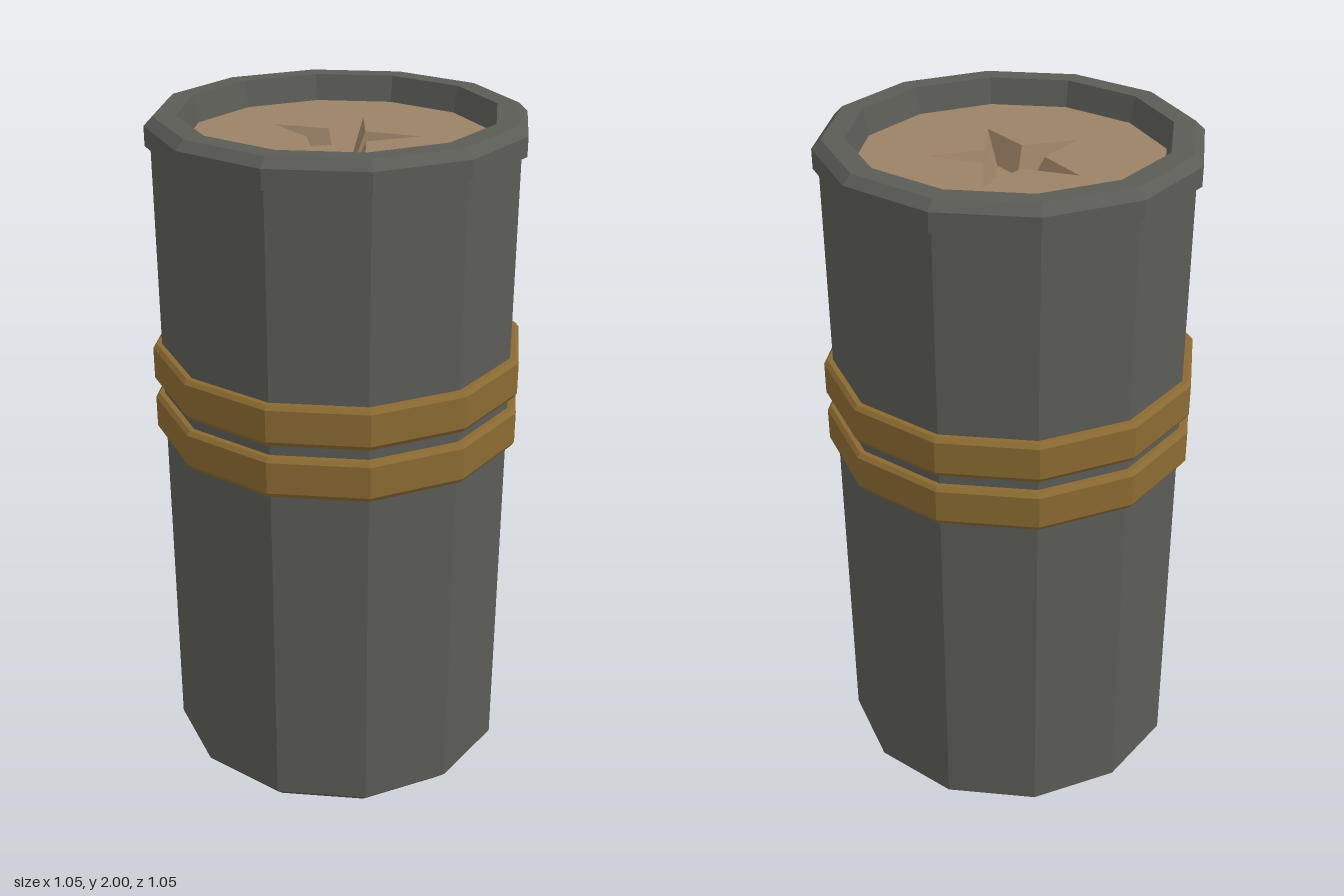
import * as THREE from 'three';

const SIDES = 12;
const CORNER = 1 / Math.cos(Math.PI / SIDES); // flat-to-flat radius -> corner radius

const mat = (name, color) => {
  const m = new THREE.MeshStandardMaterial({ color, flatShading: true });
  m.name = name;
  return m;
};

// Twelve-sided lathe with flats facing the axes; profile holds [flat radius, y]
function turned(name, profile, material) {
  const points = profile.map(([r, y]) => new THREE.Vector2(r * CORNER, y));
  const mesh = new THREE.Mesh(new THREE.LatheGeometry(points, SIDES, Math.PI / SIDES), material);
  mesh.name = name;
  return mesh;
}

// Five-pointed star outline, counter-clockwise from its top tip
function starPoints(scale) {
  return Array.from({ length: 10 }, (_, i) => {
    const a = Math.PI / 2 + (i * Math.PI) / 5;
    const r = (i % 2 ? 0.091 : 0.226) * scale;
    return new THREE.Vector2(r * Math.cos(a), r * Math.sin(a));
  });
}

export function createModel() {
  const model = new THREE.Group();
  model.name = 'canister';
  const casing = mat('darkGrey', 0x5b5c56);
  const brass = mat('brass', 0x8b6a32);
  const tan = mat('tan', 0x9c8266);
  const lidY = 1.925, starDepth = 0.075;

  // Casing with bevelled foot and raised, hollow rim
  model.add(turned('casing', [
    [0, 0], [0.465, 0], [0.5, 0.035], [0.5, 1.92], [0.515, 1.92],
    [0.515, 1.975], [0.49, 2], [0.43, 2], [0.415, lidY],
  ], casing));

  // Two bevelled bands
  [['lowerBand', 1.065], ['upperBand', 1.22]].forEach(([name, y]) => {
    model.add(turned(name, [
      [0.49, y], [0.515, y], [0.525, y + 0.015], [0.525, y + 0.108], [0.515, y + 0.12], [0.49, y + 0.12],
    ], brass));
  });

  // Lid, laid flat, with a star pressed into it
  const lid = new THREE.Group();
  lid.name = 'lid';
  lid.position.y = lidY;
  lid.rotation.x = -Math.PI / 2;
  const outer = starPoints(1), inner = starPoints(0.59);

  const lidShape = new THREE.Shape(Array.from({ length: SIDES }, (_, i) => {
    const a = ((i + 0.5) * 2 * Math.PI) / SIDES;
    return new THREE.Vector2(Math.cos(a), Math.sin(a)).multiplyScalar(0.415 * CORNER);
  }));
  lidShape.holes.push(new THREE.Path(outer));
  const plate = new THREE.Mesh(new THREE.ShapeGeometry(lidShape), tan);
  plate.name = 'lidPlate';

  const floor = new THREE.Mesh(new THREE.ShapeGeometry(new THREE.Shape(inner)), tan);
  floor.name = 'starFloor';
  floor.position.z = -starDepth;

  // Sloping walls between the star opening and its smaller floor
  const pos = [];
  for (let i = 0; i < 10; i++) {
    const j = (i + 1) % 10;
    const a = [outer[i].x, outer[i].y, 0], b = [outer[j].x, outer[j].y, 0];
    const c = [inner[j].x, inner[j].y, -starDepth], d = [inner[i].x, inner[i].y, -starDepth];
    pos.push(...a, ...b, ...c, ...a, ...c, ...d);
  }
  const wallGeo = new THREE.BufferGeometry();
  wallGeo.setAttribute('position', new THREE.Float32BufferAttribute(pos, 3));
  wallGeo.computeVertexNormals();
  const walls = new THREE.Mesh(wallGeo, tan);
  walls.name = 'starWalls';

  lid.add(plate, floor, walls);
  model.add(lid);
  return model;
}
